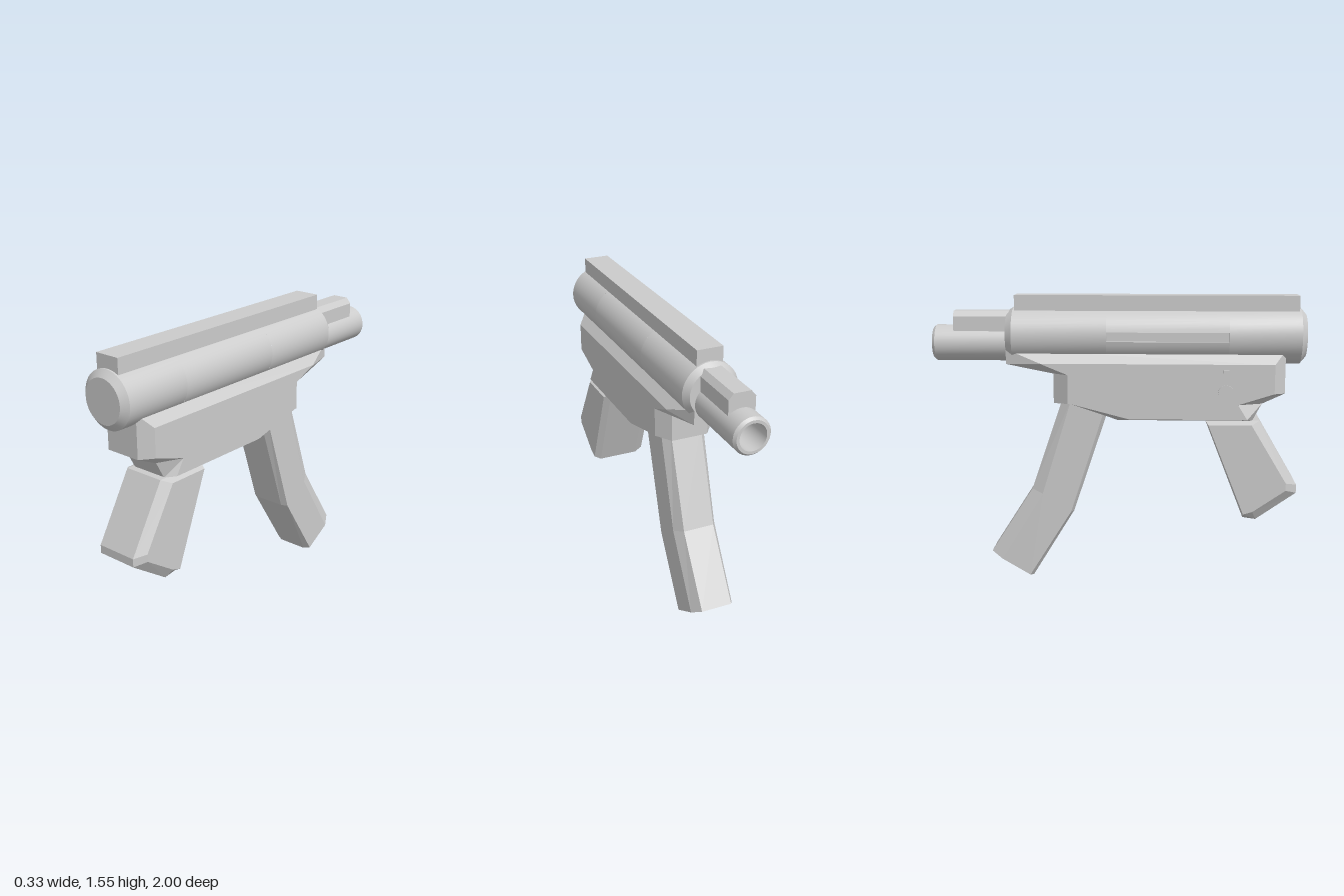
import * as THREE from 'three';
import { toCreasedNormals } from 'three/addons/utils/BufferGeometryUtils.js';

const grey = new THREE.MeshStandardMaterial({ color: 0xcccccc });
const inward = new THREE.MeshStandardMaterial({ color: 0xcccccc, side: THREE.BackSide });

// Solid with chamfered sides: mid outline [z, y] at +-midX, smaller outline at +-sideX
function chamfered(mid, midX, side, sideX) {
  const layers = [[sideX, side], [midX, mid], [-midX, mid], [-sideX, side]];
  const n = mid.length, pos = [], index = [];
  for (const [x, pts] of layers) for (const [z, y] of pts) pos.push(x, y, z);
  for (let k = 0; k < 3; k++) {
    for (let i = 0; i < n; i++) {
      const j = (i + 1) % n, a = k * n + i, b = k * n + j;
      index.push(a, a + n, b + n, a, b + n, b);
    }
  }
  const outline = side.map(([z, y]) => new THREE.Vector2(-z, y));
  for (const [a, b, c] of THREE.ShapeUtils.triangulateShape(outline, [])) {
    index.push(a, b, c, 3 * n + a, 3 * n + c, 3 * n + b);
  }
  const g = new THREE.BufferGeometry();
  g.setAttribute('position', new THREE.Float32BufferAttribute(pos, 3));
  g.setIndex(index);
  const flat = g.toNonIndexed();
  flat.computeVertexNormals();
  return flat;
}

// Turned part along z from [radius, z] points
function turned(profile, y, start = 0, length = Math.PI * 2) {
  const g = new THREE.LatheGeometry(profile.map(p => new THREE.Vector2(...p)), 40, start, length);
  g.rotateX(Math.PI / 2).translate(0, y, 0);
  return toCreasedNormals(g, 0.5);
}

function box(w, h, d, x, y, z) {
  return new THREE.BoxGeometry(w, h, d).translate(x, y, z);
}

export function createModel() {
  const model = new THREE.Group();
  const add = (name, geometry, material = grey) => {
    const mesh = new THREE.Mesh(geometry, material);
    mesh.name = name;
    model.add(mesh);
  };

  // Round upper tube, with an opening along its right side
  const R = 0.15, axisY = 1.34, slotH = 0.05, slot0 = -0.06, slot1 = 0.59;
  const gap = Math.asin(slotH / 2 / R);
  add('tubeRear', turned([[0, -0.6], [0.125, -0.6], [R, -0.565], [R, slot0]], axisY));
  add('tubeMiddle', turned([[R, slot0], [R, slot1]], axisY, Math.PI * 1.5 + gap, Math.PI * 2 - 2 * gap));
  add('tubeFront', turned([[R, slot1], [R, 0.97], [0.115, 1], [0, 1]], axisY));
  add('sideSlot', box(0.03, slotH, slot1 - slot0, -0.133, axisY, (slot0 + slot1) / 2), inward);

  // Top rail
  add('topRail', box(0.14, 0.155, 1.515, 0, 1.4775, 0.2025));

  // Hollow barrel and the block above it
  add('barrel', turned([[0, -0.75], [0.07, -0.75], [0.07, -1], [0.085, -1], [0.097, -0.985], [0.097, -0.59]], 1.295));
  const block = top => [[-0.58, top], [-0.58, 1.3], [-0.885, 1.3], [-0.885, top]];
  add('barrelBlock', chamfered(block(1.47), 0.045, block(1.44), 0.07));

  // Lower body
  add('lowerBody', chamfered(
    [[0.89, 1.27], [0.89, 1.04], [0.77, 0.985], [0.72, 0.89], [0, 0.89],
      [-0.27, 0.98], [-0.345, 0.98], [-0.345, 1.14], [-0.6, 1.19], [-0.6, 1.27]], 0.1,
    [[0.83, 1.2], [0.83, 1.045], [0.64, 0.985], [0.69, 0.905], [0.06, 0.905],
      [-0.25, 0.985], [-0.265, 0.985], [-0.265, 1.14], [-0.4, 1.195], [-0.41, 1.2]], 0.16));

  // Grip
  add('grip', chamfered(
    [[0.76, 0.895], [0.965, 0.545], [0.965, 0.5], [0.75, 0.35], [0.68, 0.36], [0.47, 0.895]], 0.115,
    [[0.715, 0.875], [0.905, 0.56], [0.905, 0.52], [0.73, 0.4], [0.68, 0.385], [0.485, 0.875]], 0.155));

  // Bent magazine
  add('magazine', chamfered(
    [[-0.05, 0.95], [-0.24, 0.38], [-0.47, 0.005], [-0.7, 0.14], [-0.47, 0.5], [-0.3, 1]], 0.085,
    [[-0.07, 0.95], [-0.255, 0.38], [-0.485, 0.014], [-0.64, 0.105], [-0.41, 0.48], [-0.25, 1]], 0.12));

  // Selector lever on the right side
  add('leverPivot', new THREE.CylinderGeometry(0.042, 0.042, 0.03, 24)
    .rotateZ(Math.PI / 2).translate(-0.158, 1.05, 0.575));
  add('leverArm', box(0.03, 0.1, 0.03, -0.156, 1.12, 0.575));

  return model;
}
